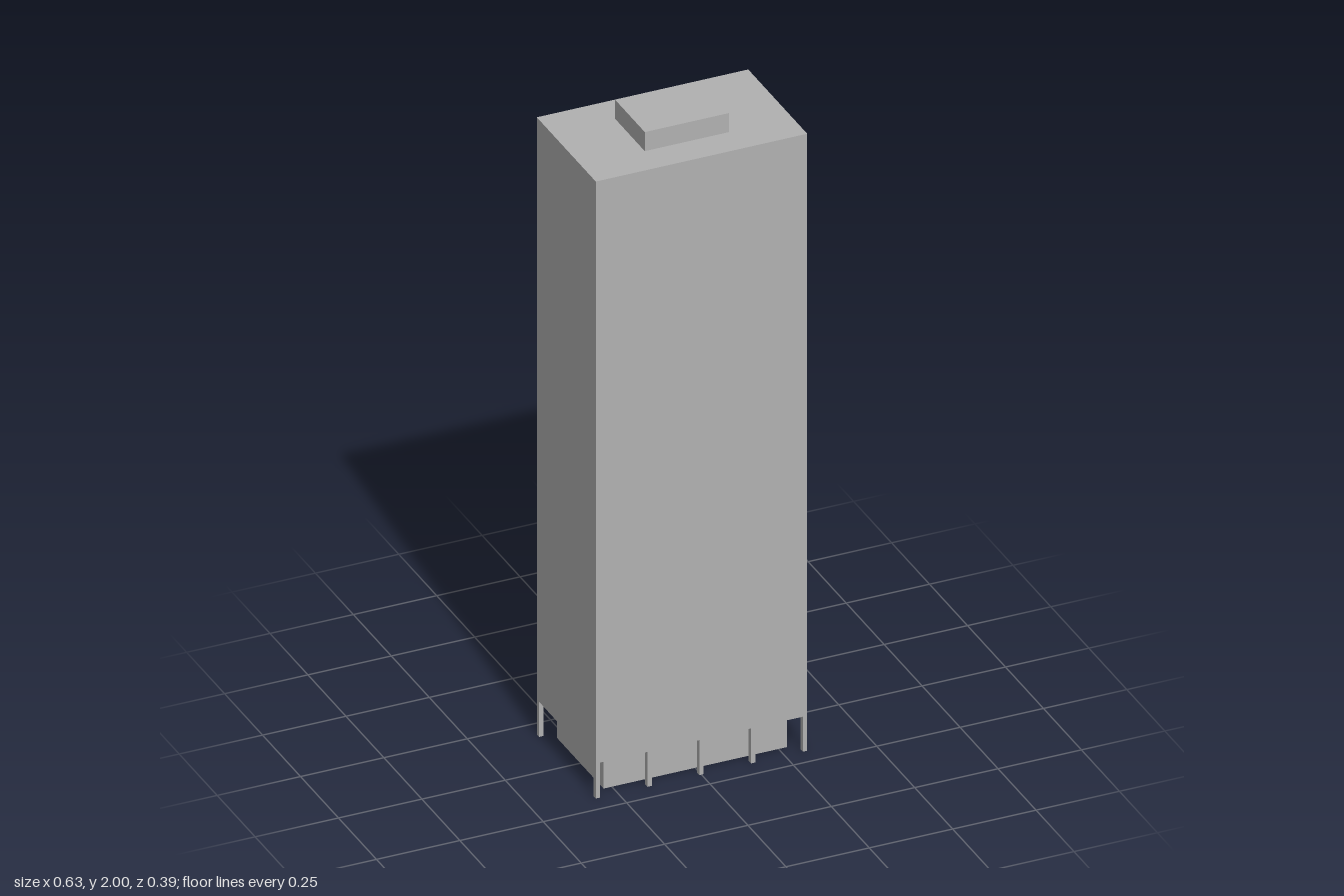
import * as THREE from 'three';

export function createModel() {
  const model = new THREE.Group();
  model.name = 'towerBlock';

  const concrete = new THREE.MeshStandardMaterial({ color: 0xb2b2b2, side: THREE.DoubleSide });
  concrete.name = 'concrete grey';

  const W = 0.634, D = 0.388;       // tower footprint
  const BASE = 0.11, ROOF = 1.94;   // underside and roof heights

  function addBox(name, w, d, y0, y1, x = 0, z = 0) {
    const mesh = new THREE.Mesh(new THREE.BoxGeometry(w, y1 - y0, d), concrete);
    mesh.name = name;
    mesh.position.set(x, (y0 + y1) / 2, z);
    model.add(mesh);
  }

  // Main shaft and rooftop plant room
  addBox('tower', W, D, BASE, ROOF);
  addBox('plantRoom', 0.252, 0.195, ROOF, 2);

  // Recessed ground floor: four thin walls, open underneath
  const lobbyW = 0.55, lobbyD = 0.306;
  for (const side of [-1, 1]) {
    for (const [name, length, offset, turn] of [
      ['lobbyLongWall', lobbyW, lobbyD / 2, 0],
      ['lobbyEndWall', lobbyD, lobbyW / 2, Math.PI / 2],
    ]) {
      const wall = new THREE.Mesh(new THREE.PlaneGeometry(length, BASE), concrete);
      wall.name = name;
      wall.rotation.y = turn + (side < 0 ? Math.PI : 0);
      wall.position.set(turn ? side * offset : 0, BASE / 2, turn ? 0 : side * offset);
      model.add(wall);
    }
  }

  // Five slim columns along the front and the back, flush with the facade
  const colW = 0.013, colD = 0.016;
  for (const side of [-1, 1]) {
    for (let i = 0; i < 5; i++) {
      const x = (i / 4 - 0.5) * (W - colW);
      addBox('column', colW, colD, 0, BASE, x, side * (D - colD) / 2);
    }
  }

  return model;
}
